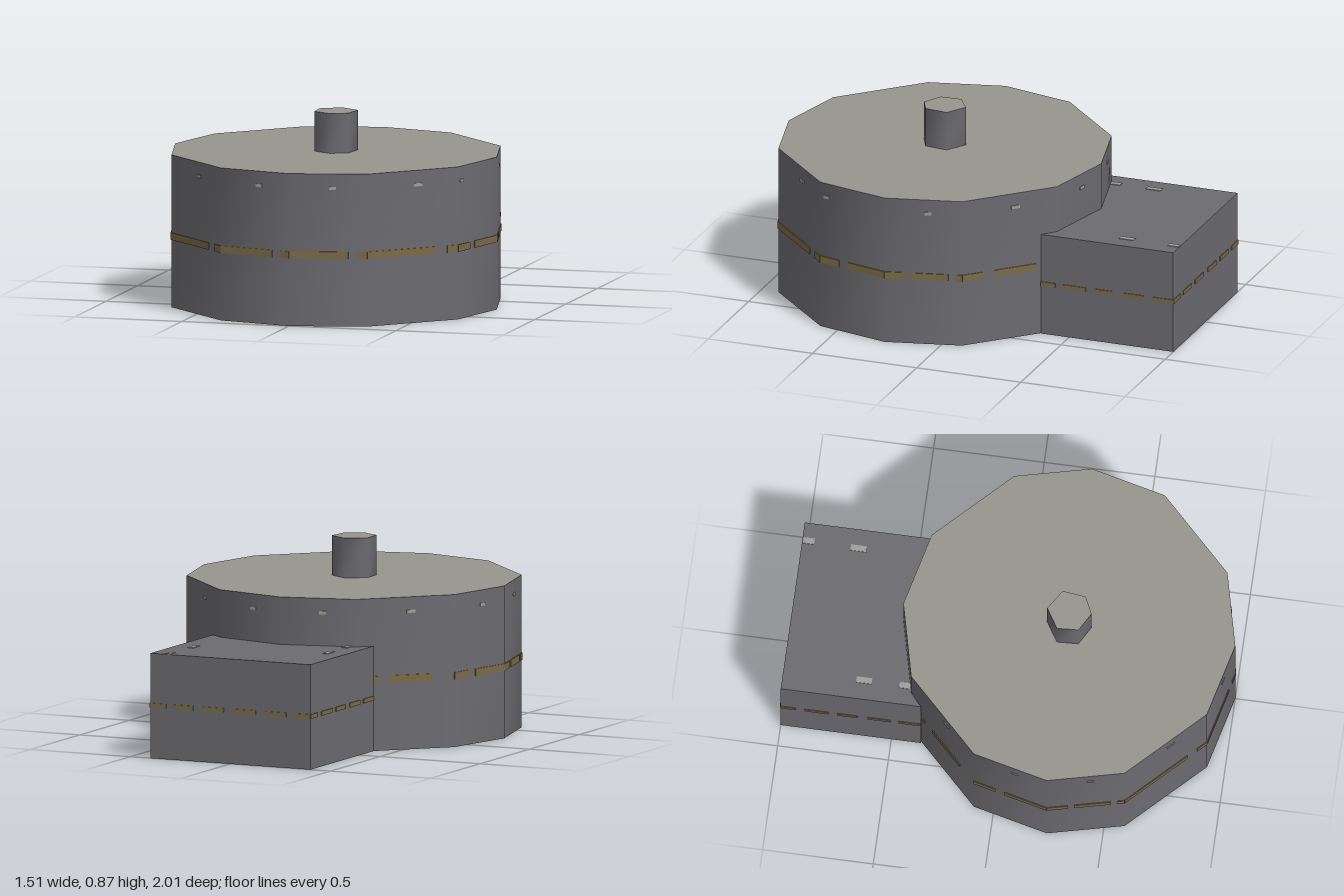
import * as THREE from 'three';

const mat = (name, color, side = THREE.FrontSide) => {
  const m = new THREE.MeshStandardMaterial({ color, side });
  m.name = name;
  return m;
};

// Points run from the front (+z) towards +x
const ringPoints = (degrees, r, cx, cz) => degrees.map((d) => {
  const a = THREE.MathUtils.degToRad(d);
  return [cx + r * Math.sin(a), cz + r * Math.cos(a)];
});

// Open wall along a footprint; shared corners give smooth normals
function wallGeometry(points, y0, y1) {
  const pos = [], index = [], n = points.length;
  points.forEach(([x, z]) => pos.push(x, y0, z, x, y1, z));
  for (let i = 0; i < n; i++) {
    const a = 2 * i, b = 2 * ((i + 1) % n);
    index.push(a, b, b + 1, a, b + 1, a + 1);
  }
  const g = new THREE.BufferGeometry();
  g.setAttribute('position', new THREE.Float32BufferAttribute(pos, 3));
  g.setIndex(index);
  g.computeVertexNormals();
  return g;
}

// Flat horizontal lid over a footprint
function lidGeometry(points, y) {
  const shape = new THREE.Shape(points.map(([x, z]) => new THREE.Vector2(x, -z)));
  return new THREE.ShapeGeometry(shape).rotateX(-Math.PI / 2).translate(0, y, 0);
}

export function createModel() {
  const model = new THREE.Group();
  model.name = 'building';

  const wallMat = mat('wall grey', 0x6c6b70, THREE.DoubleSide);
  const roofMat = mat('roof grey', 0x96968e, THREE.DoubleSide);
  const bandMat = mat('band ochre', 0x7b6b46);
  const spotMat = mat('spot pale grey', 0xa0a09a);

  const add = (name, geometry, material, parent = model) => {
    const mesh = new THREE.Mesh(geometry, material);
    mesh.name = name;
    parent.add(mesh);
    return mesh;
  };
  const group = (name) => {
    const g = new THREE.Group();
    g.name = name;
    model.add(g);
    return g;
  };

  // Thin plate through a wall, spanning t0..t1 of the edge a to b
  const plate = (name, a, b, [t0, t1], y, height, material, parent) => {
    const dx = b[0] - a[0], dz = b[1] - a[1], t = (t0 + t1) / 2;
    const geo = new THREE.BoxGeometry(Math.hypot(dx, dz) * (t1 - t0), height, 0.008);
    const mesh = add(name, geo, material, parent);
    mesh.position.set(a[0] + dx * t, y, a[1] + dz * t);
    mesh.rotation.y = Math.atan2(-dz, dx);
  };

  // Round tank: twelve-sided wall, open below, with a flat roof
  const tank = ringPoints([0, 27, 63, 90, 117, 153, 180, 207, 243, 270, 297, 333], 0.75, 0, 0.25);
  add('tankWall', wallGeometry(tank, 0, 0.69), wallMat);
  add('tankRoof', lidGeometry(tank, 0.69), roofMat);

  // Chimney on the roof
  const chimney = ringPoints([0, 50, 115, 180, 244, 302], 0.1, 0, 0.25);
  add('chimneyWall', wallGeometry(chimney, 0.69, 0.87), wallMat);
  add('chimneyTop', lidGeometry(chimney, 0.87), roofMat);

  // Broken band and small spots around the tank, by wall facet
  const front = [[0, 0.76], [0.88, 1]];
  const sideA = [[0, 0.3], [0.42, 1]];
  const sideB = [[0, 0.27], [0.35, 0.82], [0.91, 1]];
  const sideC = [[0, 0.22], [0.34, 0.78]];
  const facets = [front, front, sideA, sideB, sideC, front, front, sideC, sideA, sideB, front, front];
  const band = group('tankBand'), spots = group('tankSpots');
  facets.forEach((dashes, i) => {
    const a = tank[i], b = tank[(i + 1) % tank.length];
    dashes.forEach((d) => plate('bandDash', a, b, d, 0.322, 0.032, bandMat, band));
    const t = i === 2 ? 0.1 : 0.56;
    plate('spot', a, b, [t - 0.045, t + 0.045], 0.625, 0.014, spotMat, spots);
  });

  // Annex behind the tank: three walls and a roof, open below
  const X = 0.4, Z0 = -0.365, Z1 = -1, H = 0.475;
  const corners = [[X, Z0], [X, Z1], [-X, Z1], [-X, Z0]];
  const annexBand = group('annexBand');
  const names = ['annexLeftWall', 'annexBackWall', 'annexRightWall'];
  const shortDashes = [[0, 0.11], [0.17, 0.34], [0.4, 0.55], [0.62, 0.78], [0.84, 1]];
  const backDashes = [[0, 0.1], [0.15, 0.27], [0.33, 0.46], [0.53, 0.66], [0.72, 0.85], [0.9, 1]];
  names.forEach((name, i) => {
    const a = corners[i], b = corners[i + 1];
    const dx = b[0] - a[0], dz = b[1] - a[1];
    const wall = add(name, new THREE.PlaneGeometry(Math.hypot(dx, dz), H), wallMat);
    wall.position.set((a[0] + b[0]) / 2, H / 2, (a[1] + b[1]) / 2);
    wall.rotation.y = Math.atan2(-dz, dx);
    (i === 1 ? backDashes : shortDashes).forEach((d) =>
      plate('annexDash', a, b, d, 0.24, 0.02, bandMat, annexBand));
  });
  // The roof edge follows the tank wall
  const annexRoof = [[X, Z0], [X, Z1], [-X, Z1], [-X, Z0], tank[7], tank[6], tank[5]];
  add('annexRoof', lidGeometry(annexRoof, H), wallMat);

  // Pale patches on the annex roof: x, z, length
  const patches = group('annexRoofPatches');
  [[-0.31, -0.635, 0.07], [-0.31, -0.45, 0.05], [0.31, -0.745, 0.07], [0.315, -0.97, 0.05]]
    .forEach(([x, z, length]) => {
      add('roofPatch', new THREE.BoxGeometry(0.028, 0.004, length), spotMat, patches)
        .position.set(x, H + 0.001, z);
    });

  return model;
}
